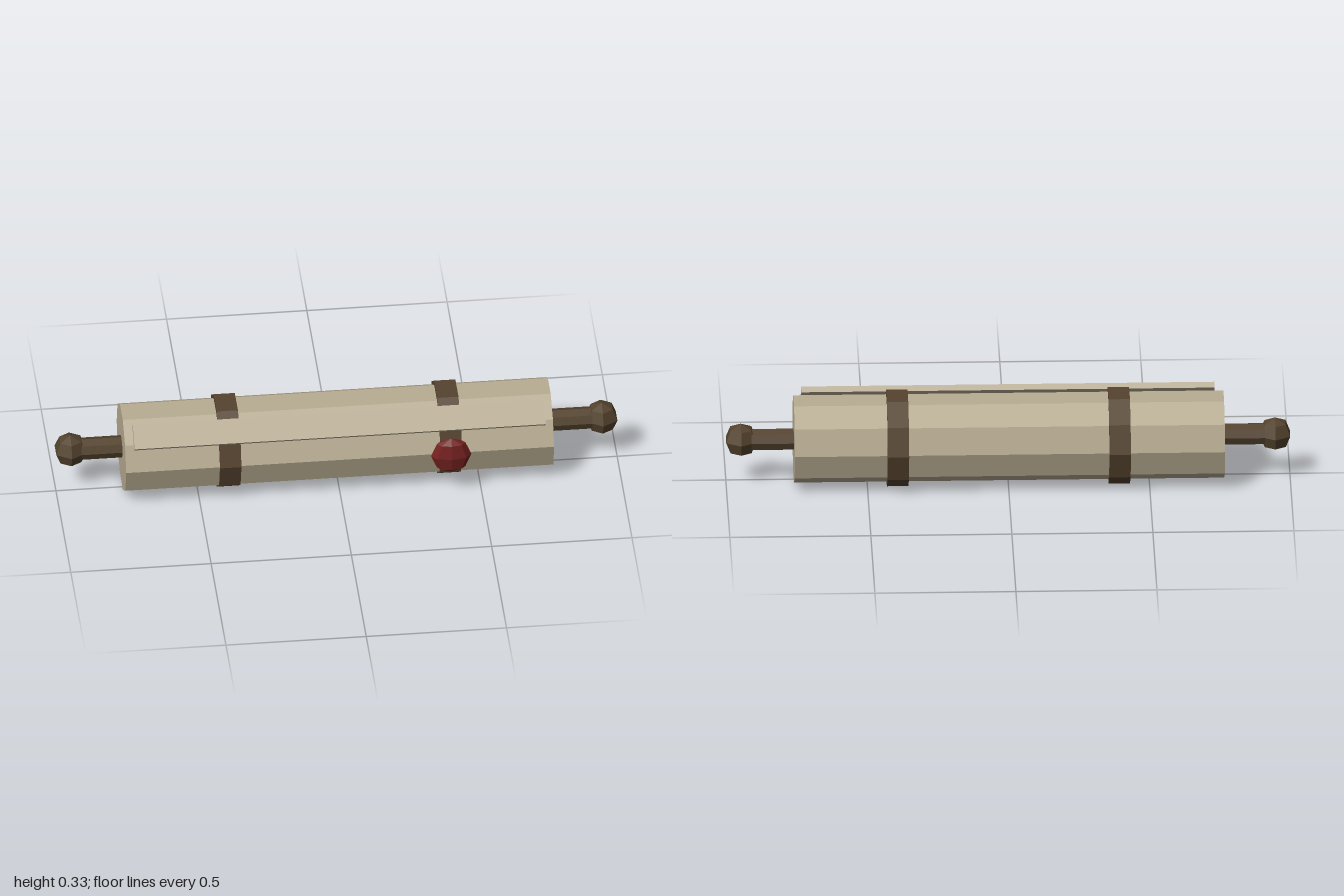
import * as THREE from 'three';

const AXIS_Y = 0.165, AXIS_Z = -0.018;

function material(name, color) {
  const m = new THREE.MeshStandardMaterial({ color, flatShading: true });
  m.name = name;
  return m;
}

export function createModel() {
  const model = new THREE.Group();
  model.name = 'scroll';
  const parchment = material('parchment', 0xb8ac92);
  const wood = material('dark wood', 0x54432e);
  const wax = material('red wax', 0x74211f);

  function add(name, geometry, mat, x = 0, y = AXIS_Y, z = AXIS_Z) {
    const mesh = new THREE.Mesh(geometry, mat);
    mesh.name = name;
    mesh.position.set(x, y, z);
    model.add(mesh);
    return mesh;
  }
  // prism lying along x, with a corner facing the front
  const rod = (radius, length, sides) =>
    new THREE.CylinderGeometry(radius, radius, length, sides).rotateZ(Math.PI / 2);

  // rolled sheet: slightly uneven ten-sided section, from the front corner upwards
  const radii = [0.165, 0.154, 0.156, 0.156, 0.160, 0.158, 0.161, 0.155, 0.162, 0.167];
  const section = new THREE.Shape(radii.map((r, i) => {
    const a = (i / radii.length) * Math.PI * 2;
    return new THREE.Vector2(-r * Math.cos(a), r * Math.sin(a));
  }));
  const roll = new THREE.ExtrudeGeometry(section, { depth: 1.525, bevelEnabled: false });
  roll.translate(0, 0, -0.765).rotateY(Math.PI / 2);
  add('roll', roll, parchment);

  // loose edge of the sheet, standing just off the roll
  const a = Math.PI / 4, reach = 0.171;
  const flap = add('looseEdge', new THREE.BoxGeometry(1.465, 0.089, 0.022), parchment, -0.002,
    AXIS_Y + reach * Math.sin(a), AXIS_Z + reach * Math.cos(a));
  flap.rotation.x = -a;

  // straps, spindle ends and knobs
  for (const side of [-1, 1]) {
    const label = side > 0 ? 'left' : 'right';
    add(label + 'Strap', rod(0.172, 0.076, 10), wood, side * 0.393);
    add(label + 'Spindle', rod(0.04, 0.22, 8), wood, side * 0.82);
    add(label + 'Knob', new THREE.SphereGeometry(0.061, 6, 4).rotateY(Math.PI / 2), wood, side * 0.947);
  }

  // wax seal on the left strap
  const seal = new THREE.SphereGeometry(0.072, 8, 4).scale(1, 1, 0.44);
  add('waxSeal', seal, wax, 0.392, AXIS_Y, 0.158);

  return model;
}
